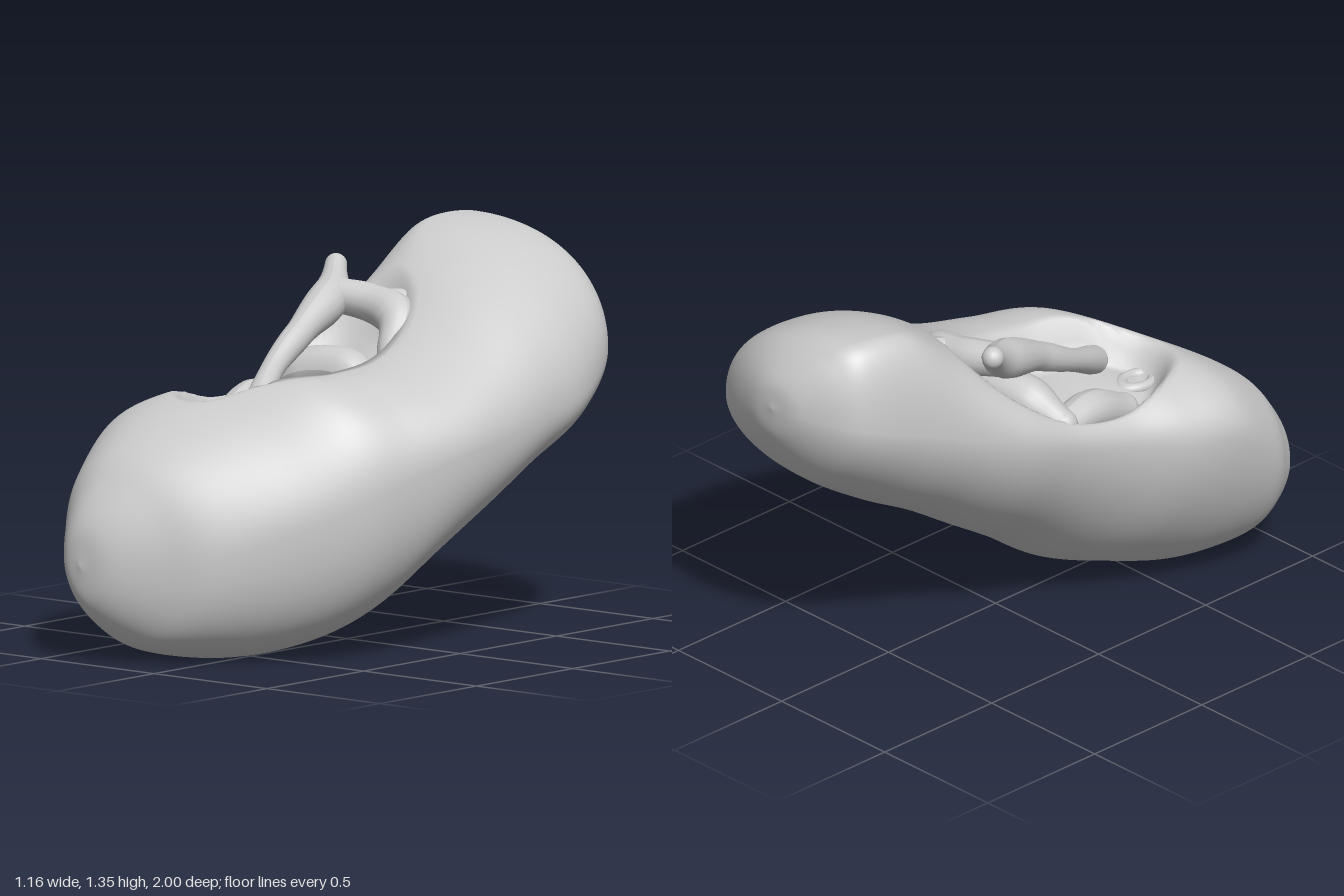
import * as THREE from 'three';

const material = new THREE.MeshStandardMaterial({ color: 0xcccccc, side: THREE.DoubleSide });
const v = (p) => new THREE.Vector3(...p);

// Cross-sections along the organ:
// z, xMin, xMax, yMin, yMax, then x of top, x of bottom, y of left edge, y of right edge
const sections = [
  [-1, 0.05, 0.05, 1.1, 1.1, 0.05, 0.05, 1.1, 1.1],
  [-0.98, -0.07, 0.17, 0.98, 1.2, 0.02, 0.06, 1.1, 1.07],
  [-0.9, -0.21, 0.35, 0.84, 1.3, -0.07, 0.07, 1.08, 1.0],
  [-0.8, -0.27, 0.47, 0.74, 1.35, -0.14, 0.07, 1.05, 0.93],
  [-0.6, -0.31, 0.55, 0.61, 1.33, -0.16, 0.06, 0.98, 0.83],
  [-0.4, -0.35, 0.57, 0.5, 1.22, -0.04, 0.05, 0.9, 0.78],
  [-0.2, -0.41, 0.575, 0.37, 1.07, 0.1, 0.05, 0.83, 0.73],
  [0, -0.43, 0.56, 0.24, 0.97, 0.15, 0.06, 0.76, 0.69],
  [0.2, -0.47, 0.51, 0.1, 0.94, 0.13, 0.06, 0.7, 0.63],
  [0.4, -0.55, 0.44, 0.03, 0.93, 0.06, 0.02, 0.66, 0.55],
  [0.6, -0.58, 0.3, 0.0, 0.85, -0.22, -0.09, 0.63, 0.46],
  [0.8, -0.54, 0.11, 0.03, 0.72, -0.28, -0.19, 0.46, 0.37],
  [0.9, -0.48, -0.05, 0.09, 0.61, -0.3, -0.25, 0.38, 0.34],
  [0.98, -0.41, -0.21, 0.2, 0.47, -0.32, -0.31, 0.34, 0.33],
  [1, -0.33, -0.33, 0.33, 0.33, -0.33, -0.33, 0.33, 0.33],
];

// Fullness of a quarter: below 1 is boxier, above 1 is flatter
const fullness = (right, up) => (up ? (right ? 1 : 0.9) : (right ? 0.9 : 1.12));

// How far the surface sinks inside the oval opening on the upper side
function hilumDrop(x, z) {
  const cx = -0.15 - 0.1 * z;
  const e = Math.hypot((x - cx) / 0.27, (z - 0.1) / 0.49);
  return 0.14 * (1 - THREE.MathUtils.smoothstep(e, 0.76, 1));
}

// Bean-shaped body lofted through the sections, each made of four rounded quarters
function bodyGeometry(rows = 140, cols = 120) {
  const track = (first) => new THREE.CatmullRomCurve3(
    sections.map((s) => v(s.slice(first, first + 3))), false, 'catmullrom');
  const tracks = [track(0), track(3), track(6)];
  const positions = [], index = [];
  for (let i = 0; i <= rows; i++) {
    const [z, xMin, xMax, yMin, yMax, xTop, xBottom, yLeft, yRight] =
      tracks.flatMap((curve) => curve.getPoint(i / rows).toArray());
    for (let j = 0; j < cols; j++) {
      const t = (j / cols) * Math.PI * 2, c = Math.cos(t), s = Math.sin(t);
      const power = fullness(c > 0, s > 0);
      const ox = s > 0 ? xTop : xBottom, oy = c > 0 ? yRight : yLeft;
      const x = ox + Math.abs(c) ** power * ((c > 0 ? xMax : xMin) - ox);
      let y = oy + Math.abs(s) ** power * ((s > 0 ? yMax : yMin) - oy);
      if (s > 0) y -= hilumDrop(x, z) * THREE.MathUtils.smoothstep(s, 0.2, 0.8);
      positions.push(x, y, z);
      if (i < rows) {
        const a = i * cols + j, b = i * cols + (j + 1) % cols;
        index.push(a, b, a + cols, b, b + cols, a + cols);
      }
    }
  }
  const geometry = new THREE.BufferGeometry();
  geometry.setAttribute('position', new THREE.Float32BufferAttribute(positions, 3));
  geometry.setIndex(index);
  geometry.computeVertexNormals();
  return geometry;
}

// Vessel of varying thickness with rounded ends
function vessel(name, points, radii) {
  const group = new THREE.Group();
  group.name = name;
  const curve = new THREE.CatmullRomCurve3(points.map(v));
  const segments = 40, sides = 16;
  const geometry = new THREE.TubeGeometry(curve, segments, 1, sides);
  const pos = geometry.attributes.position, p = new THREE.Vector3();
  for (let i = 0; i <= segments; i++) {
    const c = curve.getPointAt(i / segments);
    const f = (i / segments) * (radii.length - 1), k = Math.min(Math.floor(f), radii.length - 2);
    const r = THREE.MathUtils.lerp(radii[k], radii[k + 1], THREE.MathUtils.smoothstep(f - k, 0, 1));
    for (let j = 0; j <= sides; j++) {
      const n = i * (sides + 1) + j;
      p.fromBufferAttribute(pos, n).sub(c).multiplyScalar(r).add(c);
      pos.setXYZ(n, p.x, p.y, p.z);
    }
  }
  geometry.computeVertexNormals();
  group.add(new THREE.Mesh(geometry, material));
  for (const [point, r] of [[points[0], radii[0]], [points.at(-1), radii.at(-1)]]) {
    const end = new THREE.Mesh(new THREE.SphereGeometry(r, 16, 12), material);
    end.position.set(...point);
    group.add(end);
  }
  group.children.forEach((m) => { m.name = name; });
  return group;
}

export function createModel() {
  const model = new THREE.Group();
  model.name = 'kidney';
  const body = new THREE.Mesh(bodyGeometry(), material);
  body.name = 'body';
  model.add(body);

  // Vessels and folds inside the opening
  model.add(
    vessel('mainVessel', [[-0.34, 1.2, -0.34], [-0.26, 1.12, -0.22], [-0.21, 1.04, -0.03],
      [-0.17, 0.93, 0.18], [-0.08, 0.82, 0.38]], [0.038, 0.07, 0.05, 0.04, 0.05]),
    vessel('sideBranch', [[-0.26, 1.12, -0.23], [-0.13, 1.1, -0.27], [0.0, 1.06, -0.26],
      [0.06, 0.98, -0.17], [0.1, 0.89, -0.1]], [0.06, 0.065, 0.075, 0.055, 0.045]),
    vessel('upperBranch', [[-0.1, 1.1, -0.26], [-0.04, 1.1, -0.32], [0.02, 1.07, -0.38]],
      [0.045, 0.05, 0.06]),
    vessel('crossFold', [[-0.35, 0.83, -0.02], [-0.2, 0.89, -0.06], [-0.05, 0.89, -0.08], [0.06, 0.83, -0.06]],
      [0.05, 0.08, 0.08, 0.05]),
    vessel('innerFold', [[-0.32, 0.79, 0.0], [-0.3, 0.8, 0.14], [-0.28, 0.73, 0.32]], [0.06, 0.07, 0.06]),
  );

  // Open collar of the drain
  const collar = new THREE.Mesh(new THREE.TorusGeometry(0.045, 0.02, 10, 24), material);
  collar.name = 'drainCollar';
  collar.rotation.x = Math.PI / 2;
  collar.scale.y = 1.4;
  collar.position.set(-0.21, 0.76, 0.46);
  model.add(collar);
  return model;
}
